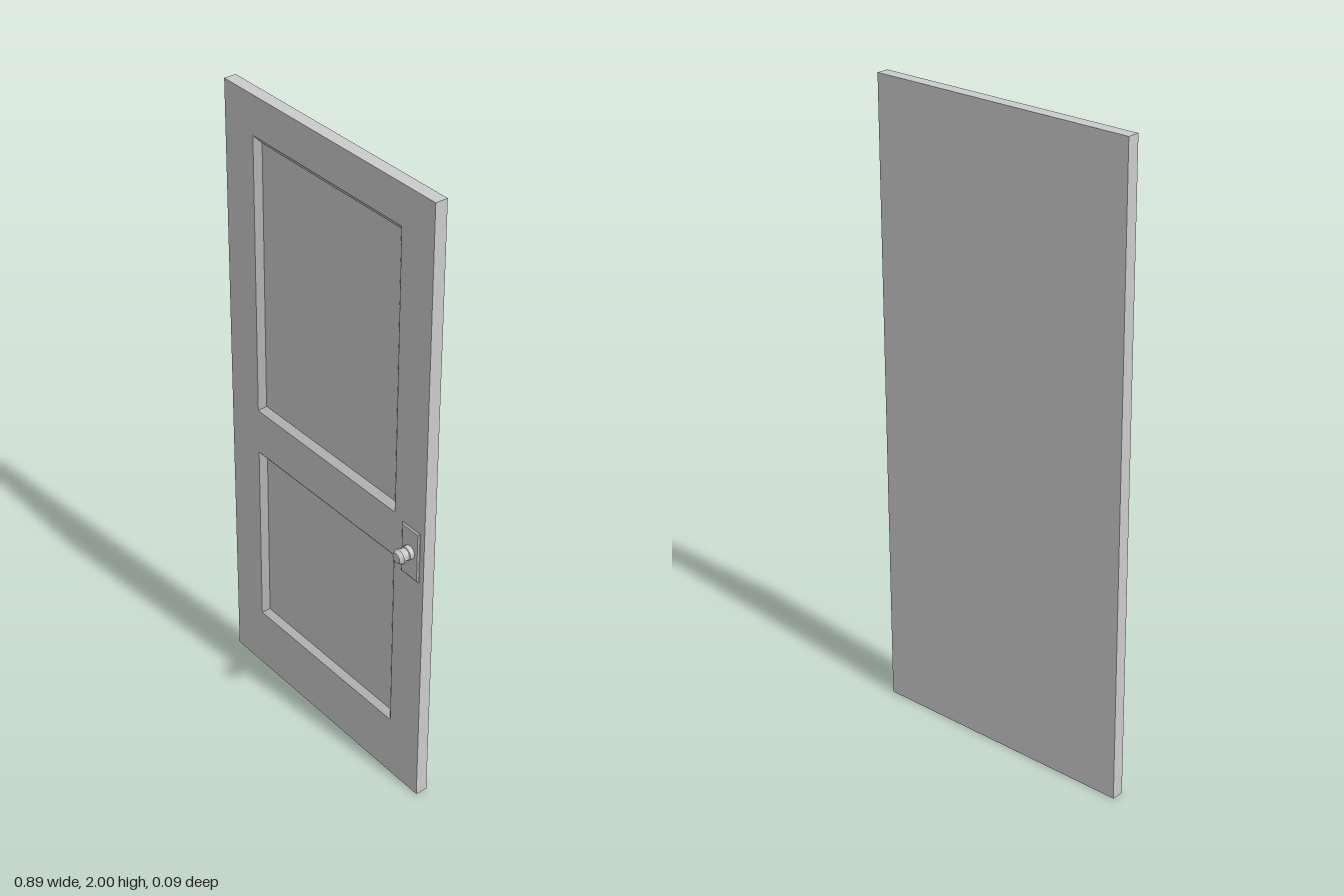
import * as THREE from 'three';
import { toCreasedNormals } from 'three/addons/utils/BufferGeometryUtils.js';

const W = 0.895, H = 2, BACK = -0.048, FRONT = -0.009;
const BEVEL = 0.02, RECESS = 0.016;
const PANELS = [
  { name: 'upperPanel', x: 0.319, y0: 0.972, y1: 1.877 },
  { name: 'lowerPanel', x: 0.319, y0: 0.205, y1: 0.823 },
];

const corners = (x, y0, y1) => [[-x, y0], [x, y0], [x, y1], [-x, y1]];
const toPoints = (list) => list.map(([x, y]) => new THREE.Vector2(x, y));

// Sunken panel: four sloping sides around a flat floor
function recessGeometry({ x, y0, y1 }) {
  const outer = corners(x, y0, y1).map(([a, b]) => [a, b, FRONT]);
  const inner = corners(x - BEVEL, y0 + BEVEL, y1 - BEVEL).map(([a, b]) => [a, b, FRONT - RECESS]);
  const pos = [];
  const quad = (a, b, c, d) => pos.push(...a, ...b, ...c, ...a, ...c, ...d);
  for (let i = 0; i < 4; i++) {
    const j = (i + 1) % 4;
    quad(outer[i], outer[j], inner[j], inner[i]);
  }
  quad(...inner);
  const geo = new THREE.BufferGeometry();
  geo.setAttribute('position', new THREE.Float32BufferAttribute(pos, 3));
  geo.computeVertexNormals();
  return geo;
}

export function createModel() {
  const group = new THREE.Group();
  const material = new THREE.MeshStandardMaterial({ color: 0xcccccc });
  const add = (name, geometry) => {
    const mesh = new THREE.Mesh(geometry, material);
    mesh.name = name;
    group.add(mesh);
    return mesh;
  };

  // Door slab: a box without its front face
  const slab = new THREE.BoxGeometry(W, H, FRONT - BACK);
  const index = Array.from(slab.index.array);
  index.splice(24, 6);
  slab.setIndex(index);
  slab.clearGroups();
  slab.translate(0, H / 2, (FRONT + BACK) / 2);
  add('doorSlab', slab);

  // Front face with openings for the panels
  const face = new THREE.Shape(toPoints(corners(W / 2, 0, H)));
  for (const p of PANELS) {
    face.holes.push(new THREE.Path(toPoints(corners(p.x, p.y0, p.y1))));
    add(p.name, recessGeometry(p));
  }
  add('frontFrame', new THREE.ShapeGeometry(face).translate(0, 0, FRONT));

  // Bevelled lock plate
  const plate = new THREE.Shape(toPoints(corners(0.038, -0.085, 0.085)));
  add('lockPlate', new THREE.ExtrudeGeometry(plate, {
    depth: 0.002, bevelEnabled: true, bevelThickness: 0.0035,
    bevelSize: 0.005, bevelOffset: -0.005, bevelSegments: 1,
  })).position.set(0.392, 0.877, FRONT);

  // Turned knob: collar, waist and rounded grip
  const profile = [
    [0.0215, -0.006], [0.0215, 0.011], [0.019, 0.013], [0.0185, 0.02],
    [0.0235, 0.029], [0.0235, 0.034], [0.015, 0.045], [0, 0.047],
  ];
  const knob = new THREE.LatheGeometry(toPoints(profile), 16).rotateX(Math.PI / 2);
  add('knob', toCreasedNormals(knob, 0.5)).position.set(0.392, 0.881, 0);

  return group;
}
